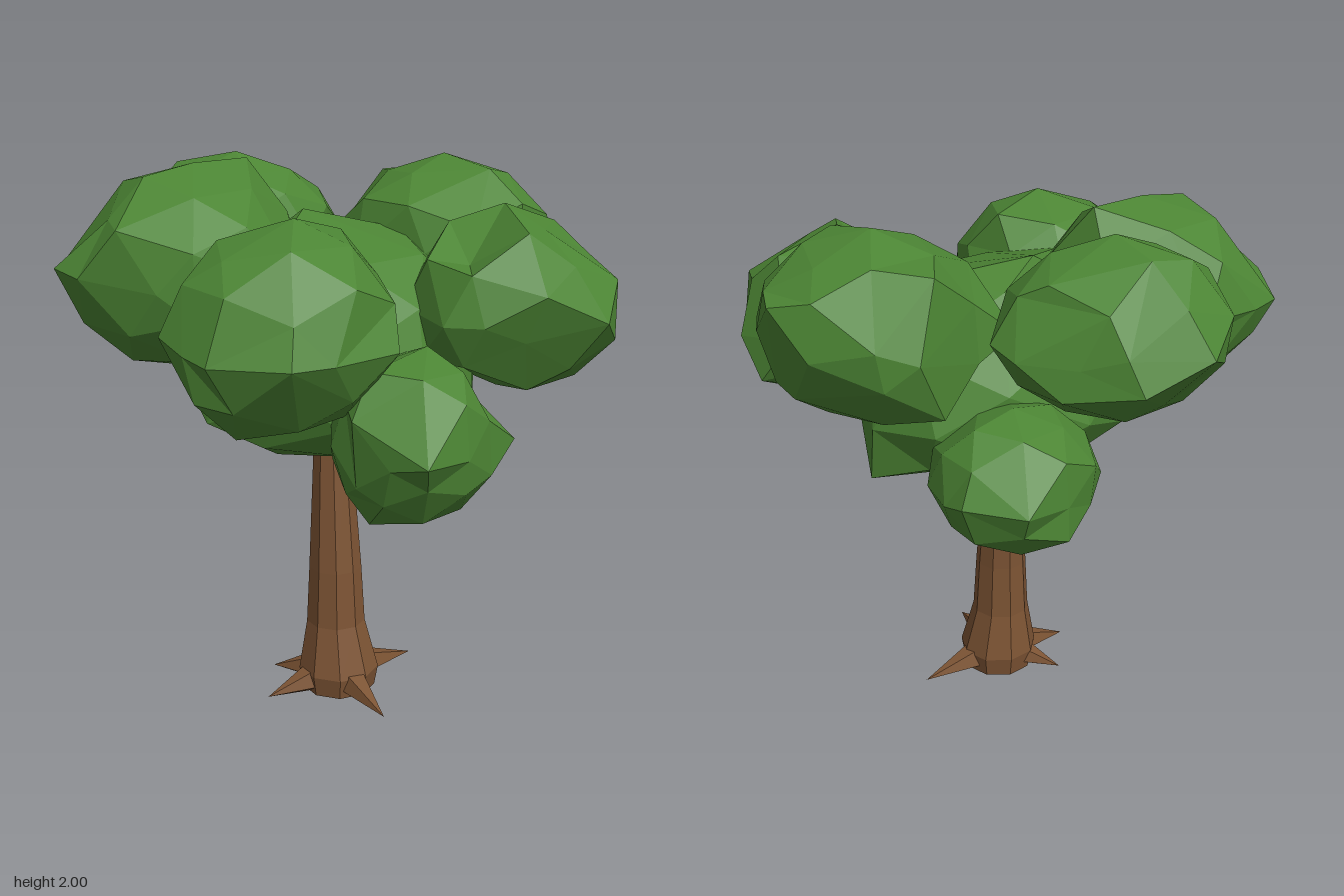
import * as THREE from 'three';
import { mergeVertices } from 'three/addons/utils/BufferGeometryUtils.js';

const leafGreen = new THREE.MeshStandardMaterial({ color: 0x4c8534, flatShading: true });
leafGreen.name = 'leaf green';
const barkBrown = new THREE.MeshStandardMaterial({ color: 0x7d5434, flatShading: true });
barkBrown.name = 'bark brown';

// Small seeded generator, values from 0 to 1
function seeded(seed) {
  let s = seed * 7919 + 17;
  return () => (s = (s * 16807) % 2147483647) / 2147483647;
}

// Lumpy low-poly clump of leaves. It bulges from its core out to the box
// min..max, and its nearest corners are pulled out to the given tips.
function leafClump(name, seed, min, core, max, tips) {
  const rand = seeded(seed);
  let geo = new THREE.IcosahedronGeometry(1, 1);
  geo.deleteAttribute('normal');
  geo.deleteAttribute('uv');
  geo = mergeVertices(geo, 1e-3);
  const pos = geo.attributes.position;
  const points = [];
  for (let i = 0; i < pos.count; i++) {
    const p = new THREE.Vector3().fromBufferAttribute(pos, i).toArray();
    points.push(p.map((c, a) => {
      const reach = c > 0 ? max[a] - core[a] : core[a] - min[a];
      return core[a] + (c + (rand() - 0.5) * 0.08) * reach * 0.98;
    }));
  }

  // Pull the nearest free corner to each tip
  const taken = new Set();
  for (const tip of tips) {
    let best = -1;
    let bestDistance = Infinity;
    points.forEach((p, i) => {
      const d = Math.hypot(p[0] - tip[0], p[1] - tip[1], p[2] - tip[2]);
      if (d < bestDistance && !taken.has(i)) {
        best = i;
        bestDistance = d;
      }
    });
    taken.add(best);
    points[best] = tip;
  }
  points.forEach((p, i) => pos.setXYZ(i, ...p.map((c, a) => THREE.MathUtils.clamp(c, min[a], max[a]))));
  geo.computeVertexNormals();
  const mesh = new THREE.Mesh(geo, leafGreen);
  mesh.name = name;
  return mesh;
}

// Leaning trunk with a flared foot; rows run from top to bottom
function trunk() {
  const rows = [ // y, centre x, centre z, radius
    [1.2, -0.07, 0.06, 0.064],
    [0.93, -0.081, 0.072, 0.074],
    [0.5, -0.094, 0.1, 0.1],
    [0.28, -0.096, 0.105, 0.112],
    [0.09, -0.095, 0.12, 0.154],
    [0.01, -0.095, 0.12, 0.14],
  ];
  const sides = 9;
  const geo = new THREE.CylinderGeometry(1, 1, 1, sides, rows.length - 1);
  const pos = geo.attributes.position;
  for (let i = 0; i < pos.count; i++) {
    const row = Math.round((0.5 - pos.getY(i)) * (rows.length - 1));
    const [y, cx, cz, r] = rows[row];
    pos.setXYZ(i, cx + pos.getX(i) * r, y, cz + pos.getZ(i) * r);
  }
  geo.computeVertexNormals();
  const mesh = new THREE.Mesh(geo, barkBrown);
  mesh.name = 'trunk';
  return mesh;
}

// Pointed root running from inside the foot of the trunk to its tip
function root(name, x, z, radius) {
  const foot = new THREE.Vector3(-0.095, 0, 0.12);
  const tip = new THREE.Vector3(x, 0.032, z);
  const dir = new THREE.Vector3(x, 0, z).sub(foot).normalize();
  const start = foot.addScaledVector(dir, 0.09).setY(0.065);
  const length = start.distanceTo(tip);
  const geo = new THREE.ConeGeometry(radius, length, 5);
  geo.translate(0, length / 2, 0);
  geo.rotateX(Math.PI / 2);
  const mesh = new THREE.Mesh(geo, barkBrown);
  mesh.name = name;
  mesh.position.copy(start);
  mesh.lookAt(tip);
  return mesh;
}

export function createModel() {
  const tree = new THREE.Group();
  tree.name = 'tree';

  const base = new THREE.Group();
  base.name = 'trunkAndRoots';
  base.add(
    trunk(),
    root('frontRoot', -0.18, 0.46, 0.065),
    root('leftRoot', 0.255, 0.16, 0.065),
    root('rightRoot', -0.4, 0.06, 0.065),
    root('backRoot', -0.22, -0.12, 0.06),
  );

  const crown = new THREE.Group();
  crown.name = 'crown';
  crown.add(
    leafClump('middleClump', 1, [-0.64, 0.95, -0.42], [-0.06, 1.27, 0.08], [0.53, 1.83, 0.57], [
      [-0.64, 1.17, 0.05], [0.52, 1.06, 0.1], [0.13, 0.97, 0.1], [-0.05, 1.82, -0.12], [-0.1, 1.27, 0.56],
      [-0.1, 0.95, 0.05], [-0.05, 1.05, 0.4], [-0.05, 1.1, -0.3],
    ]),
    leafClump('backRightClump', 2, [-0.91, 1.27, -0.69], [-0.45, 1.65, -0.28], [-0.03, 2.0, 0.14], [
      [-0.91, 1.67, -0.43], [-0.72, 1.65, -0.66], [-0.58, 1.65, -0.69], [-0.35, 1.65, -0.67], [-0.77, 1.62, -0.03],
      [-0.3, 1.65, 0.14], [-0.42, 2.0, -0.28], [-0.18, 2.0, -0.28], [-0.63, 1.97, -0.28], [-0.78, 1.84, -0.28],
    ]),
    leafClump('backClump', 3, [-0.42, 1.39, -0.97], [0, 1.69, -0.55], [0.39, 1.99, -0.19], [
      [-0.04, 1.68, -0.97], [0.2, 1.7, -0.83], [0.39, 1.68, -0.4], [0.39, 1.65, -0.52], [-0.28, 1.68, -0.82],
      [-0.03, 1.99, -0.53], [0, 1.95, -0.72], [0, 1.83, -0.88], [0, 1.49, -0.8], [0.05, 1.7, -0.19],
      [0.28, 1.65, -0.7], [-0.4, 1.65, -0.6], [0.26, 1.88, -0.53], [-0.2, 1.93, -0.55], [0.2, 1.82, -0.74],
    ]),
    leafClump('leftClump', 4, [0.13, 1.33, -0.36], [0.52, 1.67, 0.04], [0.93, 1.99, 0.46], [
      [0.93, 1.81, 0.04], [0.85, 1.48, 0.04], [0.52, 1.99, 0.04], [0.75, 1.7, -0.28], [0.63, 1.65, -0.35],
      [0.77, 1.65, 0.38], [0.13, 1.65, -0.03], [0.52, 1.84, 0.43], [0.52, 1.95, 0.27], [0.52, 1.9, -0.29],
      [0.52, 1.43, -0.33], [0.52, 1.33, 0.03], [0.2, 1.65, -0.31], [0.75, 1.9, 0.04], [0.88, 1.65, -0.1],
    ]),
    leafClump('frontRightClump', 5, [-0.94, 1.18, -0.04], [-0.52, 1.52, 0.35], [-0.16, 1.89, 0.71], [
      [-0.94, 1.5, 0.45], [-0.91, 1.36, 0.35], [-0.75, 1.21, 0.35], [-0.5, 1.89, 0.35], [-0.79, 1.79, 0.35],
      [-0.28, 1.83, 0.33], [-0.93, 1.55, 0.2], [-0.78, 1.5, 0.66], [-0.64, 1.5, 0.7], [-0.38, 1.5, 0.71],
      [-0.76, 1.5, 0], [-0.16, 1.55, 0.33], [-0.25, 1.5, 0.55],
    ]),
    leafClump('frontLeftClump', 6, [-0.1, 1.21, 0.22], [0.32, 1.53, 0.54], [0.7, 1.87, 0.97], [
      [-0.1, 1.52, 0.63], [0.34, 1.52, 0.97], [0.57, 1.5, 0.8], [0.7, 1.5, 0.62], [0.7, 1.36, 0.5],
      [0.34, 1.87, 0.5], [0.57, 1.79, 0.54], [0.3, 1.7, 0.85], [0.3, 1.35, 0.85], [0.34, 1.21, 0.49],
      [0.06, 1.36, 0.54], [0.18, 1.52, 0.24], [0.12, 1.46, 0.8], [0.1, 1.69, 0.56], [0.34, 1.8, 0.68],
    ]),
    leafClump('lowFrontClump', 7, [-0.5, 0.86, 0.32], [-0.22, 1.15, 0.62], [0.06, 1.46, 0.89], [
      [-0.43, 1.17, 0.89], [0.01, 1.17, 0.86], [-0.14, 1.46, 0.6], [-0.4, 1.42, 0.6], [0.02, 1.28, 0.65],
      [0.06, 1.12, 0.65], [-0.02, 0.96, 0.62], [-0.2, 0.86, 0.57], [-0.4, 0.9, 0.6], [-0.48, 1.05, 0.62],
      [-0.5, 1.28, 0.62], [-0.22, 1.03, 0.86], [-0.22, 0.95, 0.38], [-0.22, 1.33, 0.85],
    ]),
    leafClump('lowBackClump', 8, [-0.04, 0.91, -0.67], [0.27, 1.16, -0.38], [0.58, 1.42, -0.07], [
      [0.58, 1.18, -0.48], [0.45, 1.17, -0.66], [0.27, 1.18, -0.07], [0.27, 1.36, -0.2], [0.27, 1.42, -0.38],
      [0.27, 1.31, -0.64], [0.27, 1.03, -0.66], [0.25, 0.91, -0.37], [0.4, 0.94, -0.38], [0.52, 1.05, -0.35],
    ]),
  );

  tree.add(base, crown);
  return tree;
}
